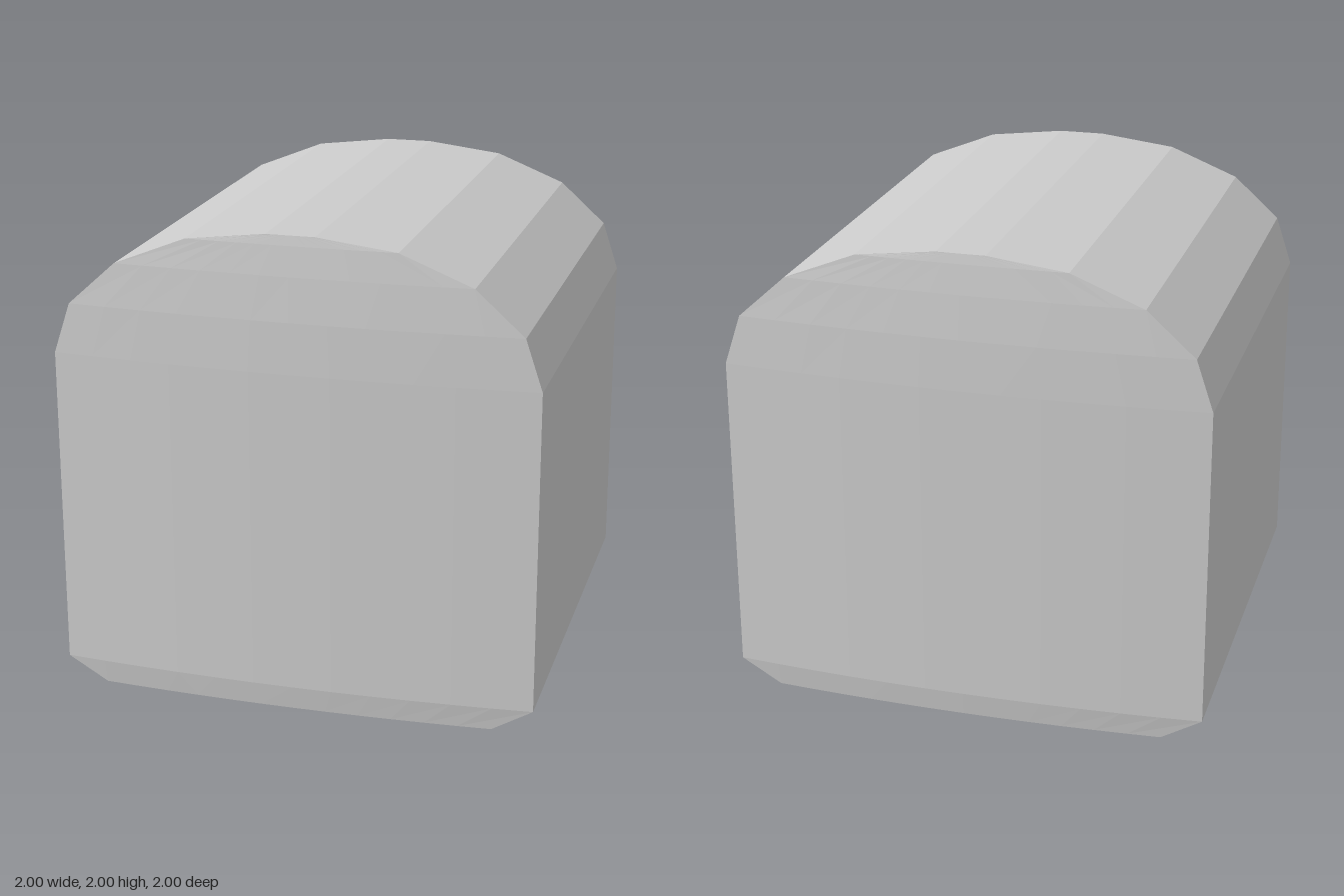
import * as THREE from 'three';

// Half-width of the block at each height, from the base to the crown
const ROWS = [
  [0.83, 0], [1, 0.1], [1, 1.45], [0.93, 1.66], [0.73, 1.84], [0.43, 1.96], [0.1, 2],
];
const STRIPS = 12;
const RIM_Z = 0.955;
const BULGE = 0.045;

// Horizontal outline: straight sides joined by bowed front and back curves
function outline([w, y]) {
  const front = [];
  for (let i = 0; i <= STRIPS; i++) {
    const x = w * (2 * i / STRIPS - 1);
    front.push([x, y, RIM_Z + BULGE * (w * w - x * x)]);
  }
  const back = front.map(([x, h, z]) => [-x, h, -z]);
  return [...front, ...back];
}

// Lofts the outlines upward and closes the base and crown
function loftGeometry() {
  const rings = ROWS.map(outline);
  const n = rings[0].length;
  const index = [];
  for (let r = 0; r < rings.length - 1; r++) {
    for (let j = 0; j < n; j++) {
      const a = r * n + j;
      const b = r * n + (j + 1) % n;
      index.push(a, b, b + n, a, b + n, a + n);
    }
  }
  const top = (rings.length - 1) * n;
  for (let j = 1; j < n - 1; j++) {
    index.push(0, j + 1, j);
    index.push(top, top + j, top + j + 1);
  }
  const geometry = new THREE.BufferGeometry();
  geometry.setAttribute('position', new THREE.Float32BufferAttribute(rings.flat(2), 3));
  geometry.setIndex(index);
  const flat = geometry.toNonIndexed();
  flat.computeVertexNormals();
  return flat;
}

export function createModel() {
  const group = new THREE.Group();
  group.name = 'archedBlock';
  const material = new THREE.MeshStandardMaterial({ color: 0xcccccc, flatShading: true });
  const body = new THREE.Mesh(loftGeometry(), material);
  body.name = 'body';
  group.add(body);
  return group;
}
